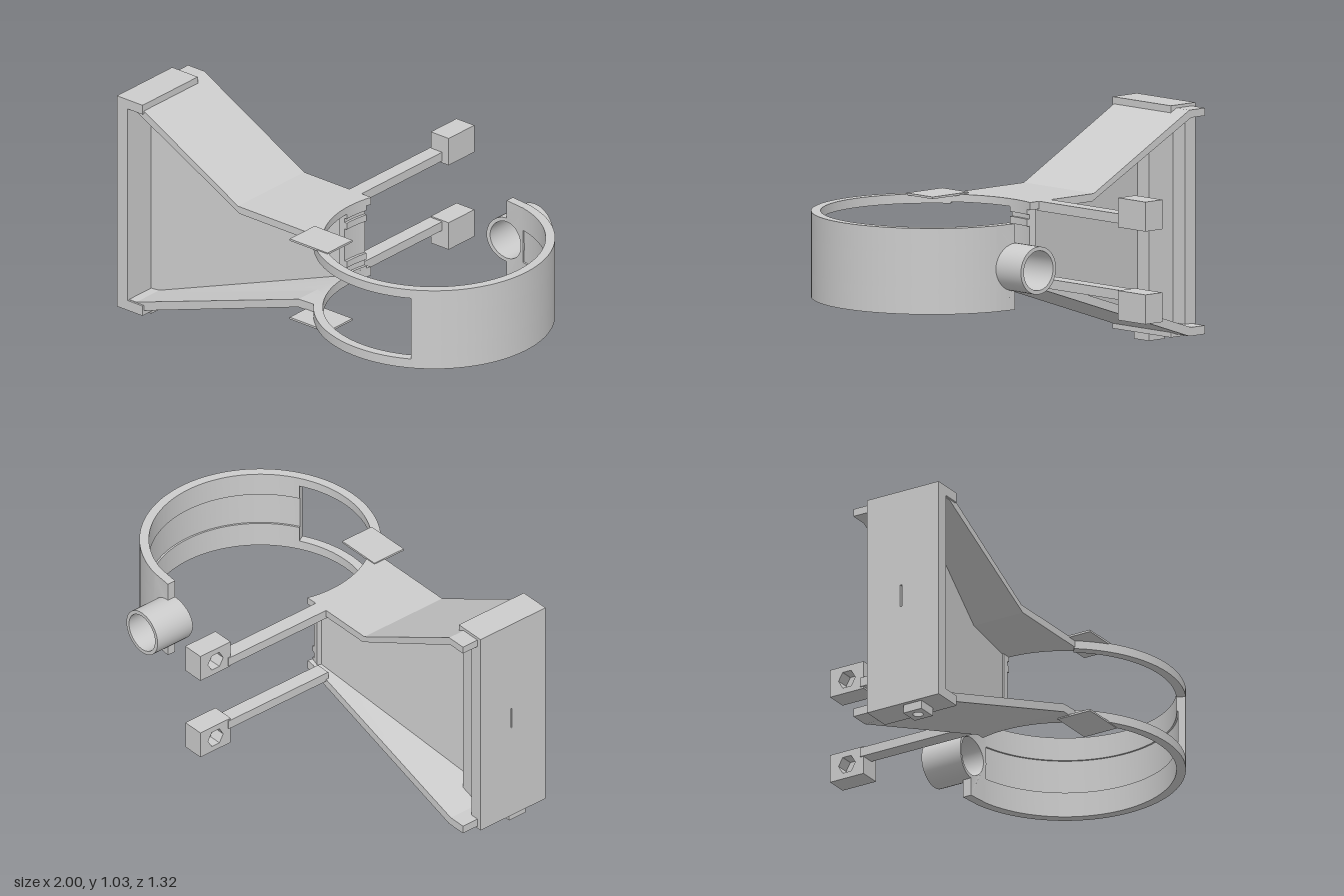
import * as THREE from 'three';
import { toCreasedNormals } from 'three/addons/utils/BufferGeometryUtils.js';

const CX = 0.49, CZ = 0.15, RI = 0.47, RO = 0.51; // ring centre and radii
const Y0 = 0.348, Y1 = 0.715;

export function createModel() {
  const model = new THREE.Group();
  const material = new THREE.MeshStandardMaterial({ color: 0xcccccc, side: THREE.DoubleSide });

  const add = (name, geometry) => {
    const mesh = new THREE.Mesh(toCreasedNormals(geometry, 0.25), material);
    mesh.name = name;
    model.add(mesh);
  };
  const box = (name, x0, x1, y0, y1, z0, z1) =>
    add(name, new THREE.BoxGeometry(x1 - x0, y1 - y0, z1 - z0)
      .translate((x0 + x1) / 2, (y0 + y1) / 2, (z0 + z1) / 2));
  const outline = (pts) => new THREE.Shape(pts.map(([x, y]) => new THREE.Vector2(x, y)));
  const rect = (x0, x1, y0, y1) => outline([[x0, y0], [x1, y0], [x1, y1], [x0, y1]]);
  const extrude = (shape, depth, steps = 1) =>
    new THREE.ExtrudeGeometry(shape, { depth, steps, curveSegments: 40, bevelEnabled: false });
  const warp = (geometry, rule) => {
    const p = geometry.attributes.position, v = new THREE.Vector3();
    for (let i = 0; i < p.count; i++) {
      rule(v.fromBufferAttribute(p, i));
      p.setXYZ(i, v.x, v.y, v.z);
    }
    return geometry;
  };

  // Arc-shaped wall around the ring centre
  const arcBand = (name, ri, a0, a1, y0, y1) => {
    const s = new THREE.Shape();
    s.absarc(0, 0, RO, a0, a1, false);
    s.absarc(0, 0, ri, a1, a0, true);
    add(name, extrude(s, y1 - y0).rotateX(-Math.PI / 2).translate(CX, y0, CZ));
  };
  const windowEdge = -Math.acos(0.25 / RO), bandEnd = Math.PI / 2 - Math.asin(0.1 / RO);
  arcBand('ringBandLower', RI, windowEdge, bandEnd, Y0, 0.46);
  arcBand('ringBandGroove', RI + 0.008, windowEdge, bandEnd, 0.46, 0.61);
  arcBand('ringBandUpper', RI, windowEdge, bandEnd, 0.61, Y1);
  arcBand('ringRailLower', RI, -2.5, windowEdge, Y0, 0.39);
  arcBand('ringRailUpper', RI, -2.5, windowEdge, 0.675, Y1);

  // Curved hub wall between horn and ring, with shallow grooves
  const levels = [0.37, 0.4, 0.43, 0.46, 0.61, 0.64, 0.66, 0.7];
  for (let i = 0; i < levels.length - 1; i++) {
    arcBand('hubWall', RI + (i % 2 ? 0.012 : 0), 2.93, 3.18, levels[i], levels[i + 1]);
  }

  // Free end of the band, notched around the pipe bore
  const PY = 0.53, BORE = 0.085;
  const end = new THREE.Shape();
  end.moveTo(0, Y0);
  end.lineTo(0.1, Y0);
  end.lineTo(0.1, Y1);
  end.lineTo(0, Y1);
  end.lineTo(0, PY + BORE);
  end.absarc(0, PY, BORE, Math.PI / 2, -Math.PI / 2, true);
  add('ringEnd', warp(extrude(end, RO - RI), (v) => {
    const r = RO - v.z;
    v.z = CZ - Math.sqrt(r * r - v.x * v.x);
    v.x += CX;
  }));

  // Side pipe, saddled onto the ring
  const pipeProfile = [[BORE, 0], [0.102, 0], [0.102, 0.2], [BORE, 0.2], [BORE, 0]];
  const pipe = new THREE.LatheGeometry(pipeProfile.map(([x, y]) => new THREE.Vector2(x, y)), 40)
    .rotateX(Math.PI / 2);
  add('pipe', warp(pipe, (v) => {
    v.z = v.z > 0.1 ? CZ - Math.sqrt(RI * RI - v.x * v.x) : -0.503;
    v.x += CX;
    v.y += PY;
  }));

  // Horn walls, whose hub end follows the ring's inner circle
  const hornWall = (name, pts) =>
    add(name, warp(extrude(outline(pts), 0.43, 14).translate(0, 0, 0.028), (v) => {
      if (v.x > 0.02) v.x = CX - Math.sqrt(RI * RI - (v.z - CZ) ** 2);
    }));
  hornWall('hornTopWall', [[-0.98, 0.98], [-0.9, 0.98], [-0.325, 0.682], [0.03, 0.682],
    [0.03, Y1], [-0.335, Y1], [-0.89, 1.013], [-0.98, 1.013]]);
  hornWall('hornBottomWall', [[-0.98, 0.048], [-0.89, 0.048], [0, Y0], [0.03, Y0],
    [0.03, 0.39], [0, 0.385], [-0.9, 0.085], [-0.98, 0.085]]);

  // Middle web, leaning forward and thinning towards the wide end
  const web = outline([[-0.95, 0.06], [-0.9, 0.07], [0, 0.37], [0, 0.69],
    [-0.32, 0.69], [-0.9, 0.99], [-0.95, 0.99]]);
  add('hornWeb', warp(extrude(web, 1), (v) => {
    v.z = v.z > 0.5 ? 0.16 - 0.165 * v.x : 0.06 - 0.24 * v.x;
  }));

  // Thickened rib behind the web at the wide end
  const rib = outline([[-0.95, 0.06], [-0.9, 0.07], [-0.8, 0.104], [-0.8, 0.935],
    [-0.9, 0.99], [-0.95, 0.99]]);
  add('hornRib', extrude(rib, 0.1).translate(0, 0, 0.18));

  // End plate with a narrow slot and two flanges
  const plate = rect(0.108, 0.467, 0.037, 1.026);
  plate.holes.push(new THREE.Path(rect(0.275, 0.283, 0.49, 0.59).getPoints().reverse()));
  add('endPlate', extrude(plate, 0.06).rotateY(-Math.PI / 2).translate(-0.94, 0, 0));
  box('endFlangeTop', -0.95, -0.858, 0.983, 1.026, 0.108, 0.467);
  box('endFlangeBottom', -0.95, -0.858, 0.037, 0.083, 0.108, 0.467);

  // Foot with a small socket
  const foot = rect(-0.045, 0.045, -0.045, 0.045);
  foot.holes.push(new THREE.Path().absarc(0, 0, 0.022, 0, Math.PI * 2, true));
  add('foot', extrude(foot, 0.04).rotateX(-Math.PI / 2).translate(-0.938, 0, 0.325));

  // Thin tabs, arms and nut blocks, top and bottom
  for (const [side, tabY, armY, blockY] of [['Upper', 0.711, 0.674, 0.665], ['Lower', 0.343, Y0, 0.269]]) {
    box('tab' + side, 0.04, 0.25, tabY, tabY + 0.009, 0.4, 0.562);
    box('arm' + side, -0.085, -0.017, armY, armY + 0.041, -0.51, 0.04);
    const block = rect(-0.662, -0.495, blockY, blockY + 0.126);
    const hex = [];
    for (let i = 0; i < 6; i++) {
      const a = -i * Math.PI / 3;
      hex.push(new THREE.Vector2(-0.578 + 0.042 * Math.cos(a), blockY + 0.063 + 0.042 * Math.sin(a)));
    }
    block.holes.push(new THREE.Path(hex));
    add('nutBlock' + side, extrude(block, 0.06).rotateY(-Math.PI / 2).translate(-0.02, 0, 0));
    box('nutBlockBack' + side, -0.02, 0.019, blockY, blockY + 0.126, -0.662, -0.495);
  }
  return model;
}
